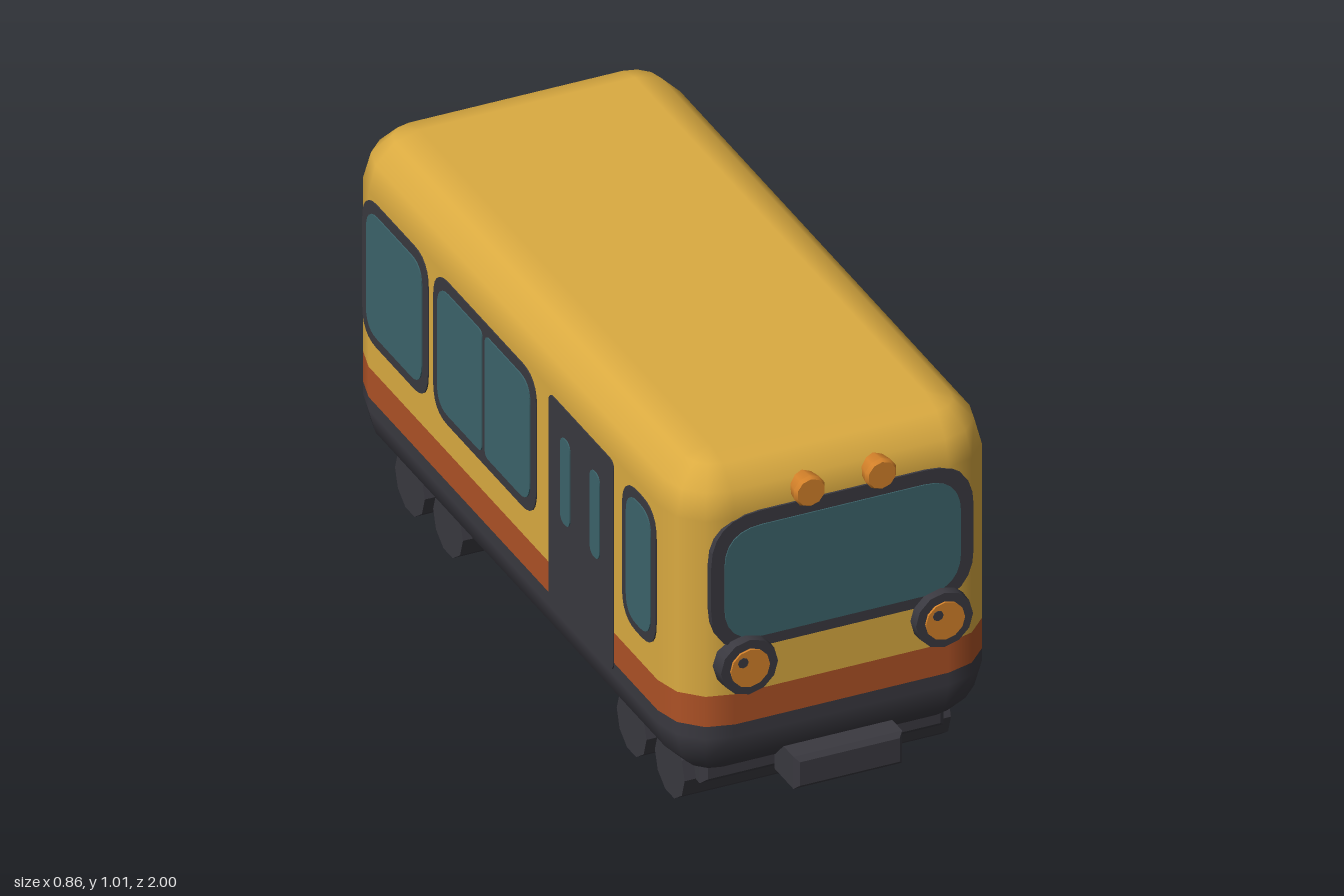
import * as THREE from 'three';

const mat = (name, color) => Object.assign(new THREE.MeshStandardMaterial({ color }), { name });

// Rounded body shell dimensions
const HX = 0.425, HZ = 0.955, R = 0.14, STEPS = 3;

// One horizontal band of the body; levels are [tilt in degrees, centre height of the rounding]
function bodyBand(levels) {
  const pos = [], nor = [], idx = [];
  const n = 4 * (STEPS + 1);
  for (const [deg, cy] of levels) {
    const t = THREE.MathUtils.degToRad(deg), c = Math.cos(t), s = Math.sin(t);
    for (let q = 0; q < 4; q++) {
      const sx = q === 0 || q === 3 ? 1 : -1, sz = q < 2 ? 1 : -1;
      for (let k = 0; k <= STEPS; k++) {
        const p = (q + k / STEPS) * Math.PI / 2;
        const nx = c * Math.cos(p), nz = c * Math.sin(p);
        pos.push(sx * (HX - R) + R * nx, cy + R * s, sz * (HZ - R) + R * nz);
        nor.push(nx, s, nz);
      }
    }
  }
  for (let j = 0; j < levels.length - 1; j++) {
    for (let i = 0; i < n; i++) {
      const a = j * n + i, b = j * n + (i + 1) % n;
      idx.push(a, a + n, b, b, a + n, b + n);
    }
  }
  // Flat floor or roof where the rounding is complete
  const last = (levels.length - 1) * n;
  for (let i = 1; i < n - 1; i++) {
    if (levels[0][0] === -90) idx.push(0, i, i + 1);
    if (levels[levels.length - 1][0] === 90) idx.push(last, last + i + 1, last + i);
  }
  const g = new THREE.BufferGeometry();
  g.setAttribute('position', new THREE.Float32BufferAttribute(pos, 3));
  g.setAttribute('normal', new THREE.Float32BufferAttribute(nor, 3));
  g.setIndex(idx);
  return g;
}

// Rectangle with separate corner radii on its left and right ends
function roundedRect(x0, x1, y0, y1, rl, rr) {
  const s = new THREE.Shape();
  s.moveTo(x0 + rl, y0);
  s.lineTo(x1 - rr, y0);
  s.quadraticCurveTo(x1, y0, x1, y0 + rr);
  s.lineTo(x1, y1 - rr);
  s.quadraticCurveTo(x1, y1, x1 - rr, y1);
  s.lineTo(x0 + rl, y1);
  s.quadraticCurveTo(x0, y1, x0, y1 - rl);
  s.lineTo(x0, y0 + rl);
  s.quadraticCurveTo(x0, y0, x0 + rl, y0);
  return s;
}

// Plate whose outer face sits at z = face
function plate(shape, face, depth) {
  return new THREE.ExtrudeGeometry(shape, { depth, bevelEnabled: false, curveSegments: 6 })
    .translate(0, 0, face - depth);
}

// Box with chamfered edges, centred on the origin
function chamferBox(w, h, d, b) {
  const x = w / 2 - b, y = h / 2 - b;
  const s = new THREE.Shape([[-x, -y], [x, -y], [x, y], [-x, y]].map(p => new THREE.Vector2(...p)));
  return new THREE.ExtrudeGeometry(s, {
    depth: d - 2 * b, bevelSize: b, bevelThickness: b, bevelSegments: 1,
  }).translate(0, 0, b - d / 2);
}

export function createModel() {
  const yellow = mat('yellowPaint', 0xdbab41);
  const rust = mat('rustStripe', 0xae5226);
  const dark = mat('darkTrim', 0x3a3940);
  const glass = mat('tealGlass', 0x3c646b);
  const amber = mat('amberLamp', 0xd5822a);
  for (const m of [dark, amber]) m.flatShading = false;

  const root = new THREE.Group();
  root.name = 'railcar';
  const add = (name, geo, material, parent = root) => {
    const m = new THREE.Mesh(geo, material);
    m.name = name;
    parent.add(m);
    return m;
  };

  // Body in three colour bands
  add('lowerBody', bodyBand([[-90, 0.26], [-60, 0.26], [-30, 0.26], [0, 0.26], [0, 0.295]]), dark);
  add('bodyStripe', bodyBand([[0, 0.295], [0, 0.38]]), rust);
  add('upperBody', bodyBand([[0, 0.38], [0, 0.87], [30, 0.87], [60, 0.87], [90, 0.87]]), yellow);

  // Side windows and doors, mirrored
  for (const s of [1, -1]) {
    const side = new THREE.Group();
    side.name = s > 0 ? 'leftSide' : 'rightSide';
    side.rotation.y = s * Math.PI / 2;
    root.add(side);
    // zf is the front end, zb the back end
    const panel = (name, m, zf, zb, y0, y1, rf, rb, face) => {
      const shape = s > 0 ? roundedRect(-zf, -zb, y0, y1, rf, rb) : roundedRect(zb, zf, y0, y1, rb, rf);
      add(name, plate(shape, face, 0.009), m, side);
    };
    const F = HX + 0.003, G = HX + 0.006;
    panel('frontWindowFrame', dark, 0.81, 0.62, 0.455, 0.85, 0.08, 0.08, F);
    panel('frontWindowGlass', glass, 0.785, 0.647, 0.48, 0.825, 0.06, 0.06, G);
    panel('middleWindowFrame', dark, 0.135, -0.445, 0.46, 0.86, 0.08, 0.08, F);
    panel('middleWindowGlassFront', glass, 0.105, -0.148, 0.49, 0.83, 0.06, 0.02, G);
    panel('middleWindowGlassBack', glass, -0.166, -0.417, 0.49, 0.83, 0.02, 0.06, G);
    panel('rearWindowFrame', dark, -0.475, -0.845, 0.46, 0.86, 0.08, 0.08, F);
    panel('rearWindowGlass', glass, -0.505, -0.817, 0.49, 0.83, 0.06, 0.06, G);
    panel('sideDoor', dark, 0.57, 0.205, 0.27, 0.86, 0.025, 0.025, F);
    for (const z of [0.47, 0.303]) {
      panel('doorWindow', glass, z + 0.027, z - 0.027, 0.54, 0.78, 0.027, 0.027, G);
    }
  }

  // Windscreen
  add('windscreenFrame', plate(roundedRect(-0.35, 0.35, 0.5, 0.88, 0.13, 0.13), HZ + 0.003, 0.03), dark);
  add('windscreenGlass', plate(roundedRect(-0.315, 0.315, 0.53, 0.842, 0.1, 0.1), HZ + 0.006, 0.009), glass);

  // Round fittings facing forward
  const disc = (name, m, x, y, z, rFront, rBack, depth, sides) => {
    const g = new THREE.CylinderGeometry(rFront, rBack, depth, sides).rotateX(Math.PI / 2);
    add(name, g.toNonIndexed(), m).position.set(x, y, z - depth / 2);
  };
  for (const s of [1, -1]) {
    disc('headlightHousing', dark, s * 0.26, 0.465, 0.984, 0.076, 0.079, 0.06, 12);
    disc('headlightLens', amber, s * 0.26, 0.465, 0.99, 0.052, 0.052, 0.02, 12);
    disc('headlightSpot', dark, s * 0.26 - 0.02, 0.485, 0.992, 0.014, 0.014, 0.006, 8);
    disc('roofLampFront', amber, s * 0.095, 0.912, 0.982, 0.037, 0.043, 0.01, 10);
    disc('roofLampBody', amber, s * 0.095, 0.912, 0.972, 0.043, 0.033, 0.06, 10);
  }

  // Rear door
  add('rearDoor', chamferBox(0.285, 0.65, 0.06, 0.02), dark).position.set(0, 0.545, -0.95);

  // Underframe and bumpers
  add('underframe', chamferBox(0.65, 0.07, 1.71, 0.015), dark).position.set(0, 0.113, 0);
  for (const s of [1, -1]) {
    add('bumper', chamferBox(0.29, 0.09, 0.13, 0.012), dark).position.set(0, 0.141, s * 0.935);
  }

  // Ten-sided wheel rollers resting on a flat
  const wheel = new THREE.CylinderGeometry(0.084, 0.084, 0.71, 10, 1, false, Math.PI / 10)
    .rotateZ(Math.PI / 2).toNonIndexed();
  wheel.rotateX(Math.PI / 2);
  wheel.computeBoundingBox();
  // Turn so a flat, not a corner, faces down
  if (wheel.boundingBox.min.y < -0.082) wheel.rotateX(Math.PI / 10);
  wheel.computeVertexNormals();
  for (const z of [0.735, 0.52, -0.515, -0.73]) {
    add('wheel', wheel, dark).position.set(0, 0.08, z);
  }

  return root;
}
